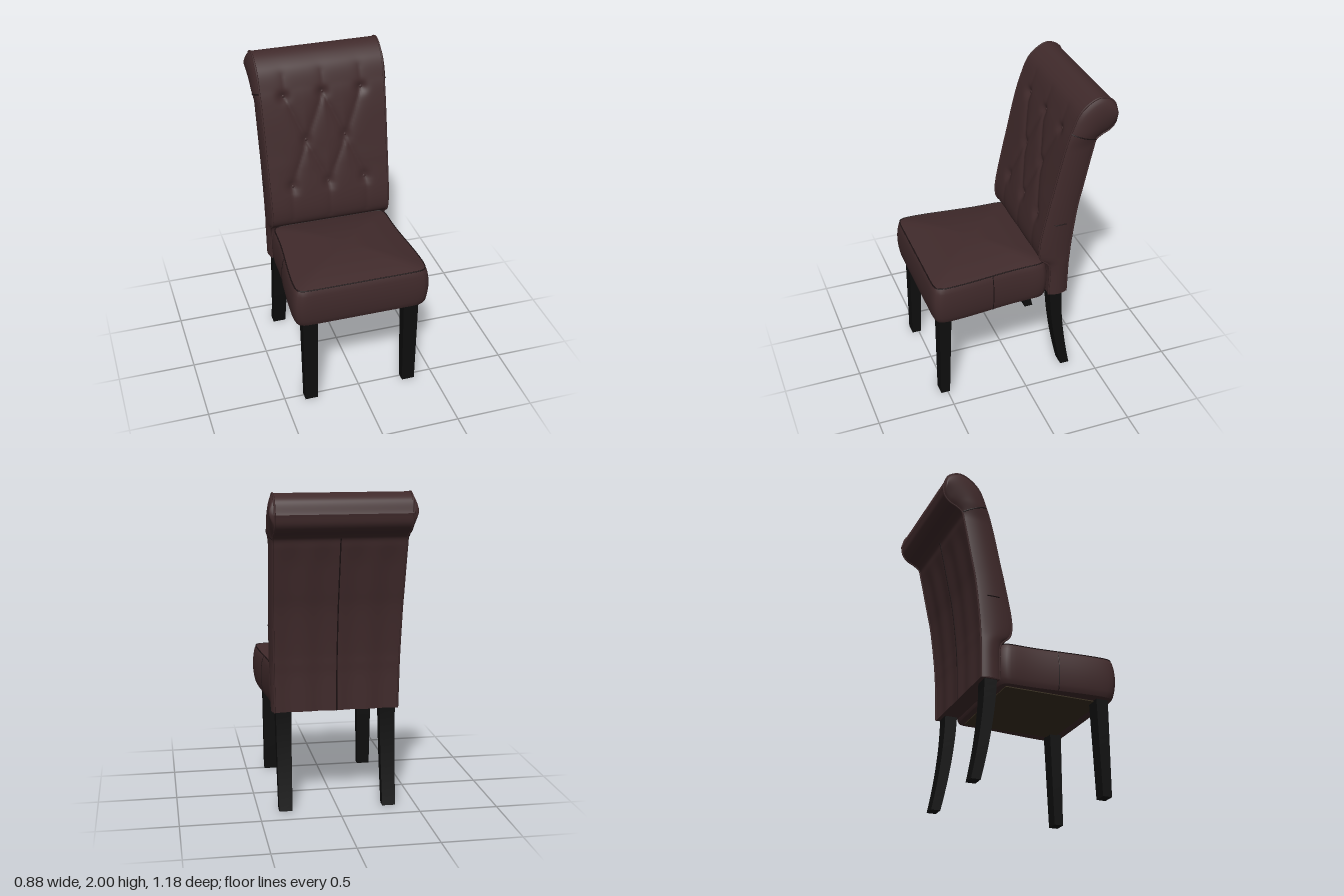
import * as THREE from 'three';

const V = (x, y, z) => new THREE.Vector3(x, y, z);

// Smooth surface from a rule fn(u, v) -> Vector3, facing du x dv
function surface(nu, nv, fn) {
  const pos = [], index = [];
  for (let j = 0; j <= nv; j++) {
    for (let i = 0; i <= nu; i++) pos.push(...fn(i / nu, j / nv).toArray());
  }
  for (let j = 0; j < nv; j++) {
    for (let i = 0; i < nu; i++) {
      const a = j * (nu + 1) + i, b = a + 1, c = a + nu + 1, d = c + 1;
      index.push(a, b, c, b, d, c);
    }
  }
  const g = new THREE.BufferGeometry();
  g.setAttribute('position', new THREE.Float32BufferAttribute(pos, 3));
  g.setIndex(index);
  g.computeVertexNormals();
  return g;
}

// Side profile of the backrest, as [y, z]: front edge and rear edge, paired
const profile = (pts) => new THREE.CatmullRomCurve3(pts.map(([y, z]) => V(0, y, z)));
const frontEdge = profile([[0.63, -0.19], [0.86, -0.185], [0.92, -0.128], [1.0, -0.116], [1.28, -0.168],
  [1.4, -0.196], [1.66, -0.256], [1.79, -0.295], [1.93, -0.36], [1.998, -0.47], [1.965, -0.555], [1.88, -0.588]]);
const rearEdge = profile([[0.63, -0.31], [0.86, -0.315], [0.93, -0.32], [1.0, -0.325], [1.28, -0.36],
  [1.4, -0.385], [1.66, -0.44], [1.725, -0.457], [1.755, -0.495], [1.78, -0.545], [1.82, -0.576], [1.88, -0.588]]);
const halfWidth = (y) => 0.388 + 0.016 * (y - 0.63);

// Tufting: buttons and the creases that join them, as [x, y]
const buttons = [[-0.255, 1.75], [0, 1.75], [0.255, 1.75], [-0.13, 1.46], [0.13, 1.46],
  [-0.24, 1.17], [0, 1.17], [0.24, 1.17]];
const creases = [];
for (const s of [-1, 1]) {
  for (const y of [1.75, 1.17]) {
    creases.push([s * 0.13, 1.46, 0, y, 0.014], [s * 0.13, 1.46, s * 0.25, y, 0.014]);
  }
}
for (const x of [-0.25, 0, 0.25]) {
  creases.push([x, 1.17, x, 0.95, 0.007], [x, 1.75, x, 1.88, 0.005]);
}
function tuftDepth(x, y) {
  let crease = 0, dimple = 0;
  for (const [ax, ay, bx, by, depth] of creases) {
    const dx = bx - ax, dy = by - ay;
    const k = THREE.MathUtils.clamp(((x - ax) * dx + (y - ay) * dy) / (dx * dx + dy * dy), 0, 1);
    const d = Math.hypot(x - ax - k * dx, y - ay - k * dy);
    crease = Math.max(crease, depth * Math.exp(-d / 0.03));
  }
  for (const [bx, by] of buttons) {
    dimple = Math.max(dimple, 0.016 * Math.exp(-((x - bx) ** 2 + (y - by) ** 2) / 0.0012));
  }
  return crease + dimple;
}

// Point on the padded side of the backrest, k from front edge to rear edge
function backSide(side, k, t) {
  const f = frontEdge.getPoint(t), b = rearEdge.getPoint(t);
  const p = f.clone().lerp(b, k);
  const roll = THREE.MathUtils.smoothstep(p.y, 1.68, 1.8);
  const bulge = (0.018 + 0.014 * roll) * Math.min(1, f.distanceTo(b) / 0.12);
  p.x = side * (halfWidth(p.y) + bulge * Math.pow(Math.max(0, Math.sin(Math.PI * k)), 0.7));
  return p;
}

// Seat outline: rounded square that widens to the front; r is the distance from centre
function seatPoint(u, r, y) {
  const c = Math.cos(u * Math.PI * 2), s = -Math.sin(u * Math.PI * 2), n = 16;
  const k = r / Math.pow(Math.abs(c) ** n + Math.abs(s) ** n, 1 / n);
  const z = 0.2 + 0.39 * s * k;
  const w = 0.402 + 0.04 * THREE.MathUtils.smoothstep(z, -0.05, 0.5);
  return V(c * k * w, y, z);
}
const seatSide = (u, v) =>
  seatPoint(u, 0.95 + 0.05 * Math.pow(Math.max(0, Math.sin(Math.PI * v)), 0.6), 0.62 + 0.26 * v);

export function createModel() {
  const mat = (name, color) => new THREE.MeshStandardMaterial({ name, color });
  const fabric = mat('brown upholstery', 0x402a2b);
  const seamDark = mat('dark seam', 0x1e1314);
  const wood = mat('black wood', 0x0e0e0e);
  const lining = mat('olive lining', 0x3a3020);

  const model = new THREE.Group();
  model.name = 'diningChair';
  const group = (name) => {
    const g = new THREE.Group();
    g.name = name;
    model.add(g);
    return g;
  };
  const add = (parent, name, geometry, material) => {
    const m = new THREE.Mesh(geometry, material);
    m.name = name;
    parent.add(m);
    return m;
  };
  const seam = (parent, name, n, fn, radius = 0.004, closed = false, material = seamDark) => {
    const pts = Array.from({ length: closed ? n : n + 1 }, (_, i) => fn(i / n));
    add(parent, name, new THREE.TubeGeometry(new THREE.CatmullRomCurve3(pts, closed), n * 2, radius, 6, closed), material);
  };

  // Backrest
  const back = group('backrest');
  add(back, 'tuftedFront', surface(72, 130, (u, v) => {
    const p = frontEdge.getPoint(v);
    p.x = (u * 2 - 1) * halfWidth(p.y);
    if (p.z > -0.4) {
      const edge = 1 - Math.abs(u * 2 - 1) ** 8;
      p.z -= tuftDepth(p.x, p.y) * edge;
    }
    return p;
  }), fabric);
  add(back, 'backPanel', surface(48, 70, (u, v) => {
    const p = rearEdge.getPoint(v);
    const a = 1 - u * 2;
    p.x = a * halfWidth(p.y);
    // soft vertical folds below the roll
    p.z += 0.004 * (1 - Math.cos(a * Math.PI * 4)) * (1 - THREE.MathUtils.smoothstep(p.y, 1.55, 1.72));
    return p;
  }), fabric);
  add(back, 'backBottom', surface(1, 1, (u, v) => {
    const p = rearEdge.getPoint(0).lerp(frontEdge.getPoint(0), v);
    p.x = (u * 2 - 1) * halfWidth(p.y);
    return p;
  }), fabric);
  for (const side of [1, -1]) {
    add(back, 'backSide', surface(14, 80, (u, v) => backSide(side, side > 0 ? u : 1 - u, v)), fabric);
    seam(back, 'frontPiping', 50, (t) => backSide(side, 0, t), 0.006, false, fabric);
    seam(back, 'rearPiping', 50, (t) => backSide(side, 1, t), 0.006, false, fabric);
    seam(back, 'rollSeam', 10, (k) => backSide(side, k, 7 / 11));
    seam(back, 'sideSeam', 6, (k) => backSide(side, 0.3 + 0.4 * k, 3.6 / 11));
  }
  seam(back, 'centreBackSeam', 24, (t) => rearEdge.getPoint(t * 7 / 11));
  for (const [x, y] of buttons) {
    let t = 0.2;
    while (frontEdge.getPoint(t).y < y) t += 0.002;
    const b = add(back, 'button', new THREE.SphereGeometry(0.011, 12, 8), fabric);
    b.scale.z = 0.5;
    b.position.set(x, y, frontEdge.getPoint(t).z - tuftDepth(x, y) + 0.002);
  }

  // Seat cushion
  const seat = group('seat');
  add(seat, 'seatSides', surface(128, 14, seatSide), fabric);
  add(seat, 'seatTop', surface(128, 16, (u, v) => {
    const r = 1 - v;
    return seatPoint(u, 0.95 * r, 0.88 + 0.052 * (1 - r * r));
  }), fabric);
  add(seat, 'seatUnderside', surface(128, 4, (u, v) => seatPoint(u, 0.95 * v, 0.62)), fabric);
  add(seat, 'liningPanel', new THREE.BoxGeometry(0.68, 0.008, 0.64).translate(0, 0.618, 0.19), lining);
  seam(seat, 'seatPiping', 128, (u) => seatSide(u, 1), 0.004, true);
  for (const u of [0.003, 0.497]) seam(seat, 'seatSideSeam', 10, (v) => seatSide(u, v), 0.003);

  // Legs: tapered boxes bent along a rule; t runs from floor to top
  function leg(name, x, rule) {
    const g = new THREE.BoxGeometry(1, 1, 1, 1, 14, 1);
    const p = g.attributes.position;
    for (let i = 0; i < p.count; i++) {
      const t = p.getY(i) + 0.5;
      const [z, depth] = rule(t);
      p.setXYZ(i, x + p.getX(i) * (0.084 + 0.014 * t), t * 0.635, z + p.getZ(i) * depth);
    }
    g.computeVertexNormals();
    add(model, name, g, wood);
  }
  for (const x of [0.33, -0.33]) {
    leg('frontLeg', x, (t) => [0.515 - 0.014 * t, 0.06 + 0.02 * t]);
    leg('rearLeg', x, (t) => [-0.245 - 0.085 * Math.pow(1 - t, 1.7), 0.06 + 0.02 * t]);
  }
  return model;
}
